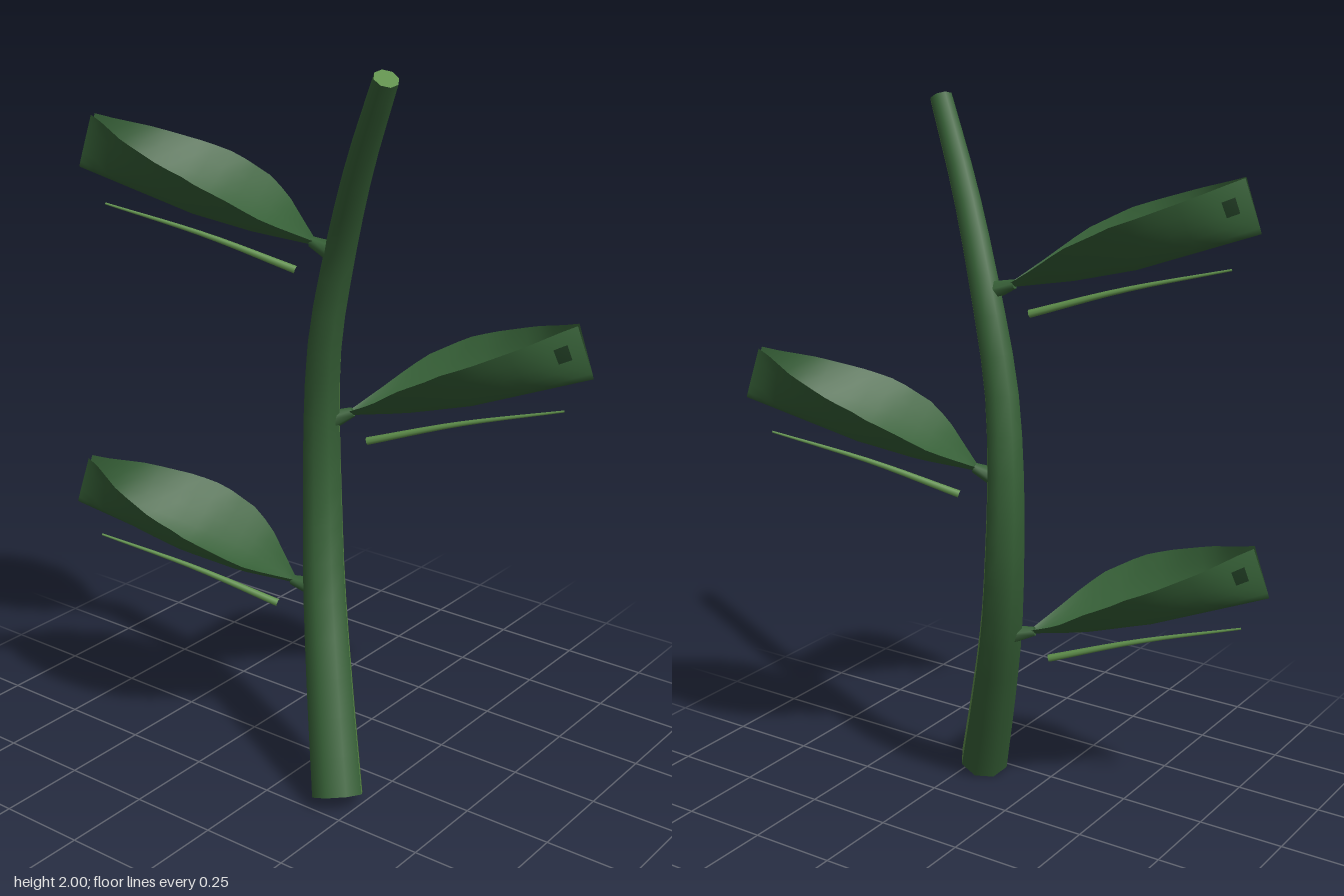
import * as THREE from 'three';

const V = (x, y, z) => new THREE.Vector3(x, y, z);
const mat = (name, color, side = THREE.FrontSide) => {
  const m = new THREE.MeshStandardMaterial({ color, side });
  m.name = name;
  return m;
};

// Piecewise linear lookup in [t, value] pairs
function lerpTable(table, t) {
  for (let i = 1; i < table.length; i++) {
    const [a, va] = table[i - 1], [b, vb] = table[i];
    if (t <= b) return va + (vb - va) * (t - a) / (b - a);
  }
  return table[table.length - 1][1];
}

// Regular grid surface from a point function f(u, v) (and optional normal function)
function gridSurface(f, nu, nv, normalAt) {
  const pos = [], nor = [], idx = [];
  for (let i = 0; i <= nu; i++) for (let j = 0; j <= nv; j++) {
    pos.push(...f(i / nu, j / nv).toArray());
    if (normalAt) nor.push(...normalAt(i / nu, j / nv).toArray());
    if (i < nu && j < nv) {
      const a = i * (nv + 1) + j, b = a + nv + 1;
      idx.push(a, b, a + 1, b, b + 1, a + 1);
    }
  }
  const g = new THREE.BufferGeometry();
  g.setAttribute('position', new THREE.Float32BufferAttribute(pos, 3));
  g.setIndex(idx);
  if (normalAt) g.setAttribute('normal', new THREE.Float32BufferAttribute(nor, 3));
  else g.computeVertexNormals();
  return g;
}

// Tapered eight-sided sweep; a0..a1 is the covered sector in eighths of a turn
function sweep(curve, side, radius, rings, a0 = 0, a1 = 8) {
  const frame = (u) => {
    const t = curve.getTangentAt(u);
    const b = side.clone().cross(t).normalize();
    return { t, b, n: t.clone().cross(b) };
  };
  const radial = (u, v) => {
    const { n, b } = frame(u), a = (a0 + (a1 - a0) * v) * Math.PI / 4;
    return n.multiplyScalar(Math.cos(a)).addScaledVector(b, Math.sin(a));
  };
  const point = (u, v) => curve.getPointAt(u).addScaledVector(radial(u, v), radius(u));
  return { geometry: gridSurface(point, rings, a1 - a0, radial), frame };
}

// Boat-shaped leaf: margins stay high and pinch together at the tip
const WIDTH = [[0, 0.008], [0.12, 0.087], [0.2, 0.137], [0.3, 0.17], [0.45, 0.186], [0.6, 0.17], [0.8, 0.108], [0.94, 0.035], [1, 0.012]];
const MARGIN = [[0, 0.006], [0.12, 0.03], [0.3, 0.07], [0.5, 0.09], [1, 0.098]];
const KEEL = [[0, -0.006], [0.25, -0.035], [0.5, -0.052], [1, -0.05]];
function leafPoint(t, s) {
  const k = lerpTable(KEEL, t), m = lerpTable(MARGIN, t);
  return V(0.668 * t, k + (m - k) * Math.abs(s) ** 1.4, lerpTable(WIDTH, t) * s);
}

export function createModel() {
  const model = new THREE.Group();
  const darkGreen = mat('dark green', 0x376137);
  const leafGreen = mat('leaf green', 0x366037, THREE.DoubleSide);
  const lightGreen = mat('light green', 0x5f8f4b);
  const spotGreen = mat('deep spot green', 0x1c361f, THREE.DoubleSide);
  const add = (parent, name, geometry, material) => {
    const mesh = new THREE.Mesh(geometry, material);
    mesh.name = name;
    parent.add(mesh);
    return mesh;
  };

  // Stem with one pale side and pale cut ends
  const stemPath = new THREE.CatmullRomCurve3([
    V(0.2, 0.035, 0.19), V(0.105, 0.31, 0.1), V(0.025, 0.57, 0.02), V(-0.015, 0.8, -0.025),
    V(-0.02, 1.02, -0.028), V(0.012, 1.25, 0), V(0.085, 1.5, 0.035), V(0.2, 1.75, 0.11), V(0.332, 1.985, 0.188),
  ]);
  const side = V(0.53, 0, -0.85).normalize();
  const stemRadius = (u) => 0.073 - 0.041 * u;
  const bark = sweep(stemPath, side, stemRadius, 20, 1, 8);
  add(model, 'stem', bark.geometry, darkGreen);
  add(model, 'stemPaleSide', sweep(stemPath, side, stemRadius, 20, 0, 1).geometry, lightGreen);
  for (const [u, name] of [[0, 'stemBottomCut'], [1, 'stemTopCut']]) {
    const { t, n, b } = bark.frame(u);
    const cap = new THREE.CircleGeometry(stemRadius(u), 8);
    cap.applyMatrix4(u ? new THREE.Matrix4().makeBasis(n, b.negate(), t)
      : new THREE.Matrix4().makeBasis(n, b, t.negate()));
    add(model, name, cap, lightGreen).position.copy(stemPath.getPointAt(u));
  }

  // Parts shared by every leaf
  const blade = gridSurface((u, v) => leafPoint(u, 2 * v - 1), 16, 10);
  const spot = gridSurface((u, v) => leafPoint(0.895 + 0.05 * u, 0.58 + 0.24 * v).add(V(0.002, -0.001, 0.004)), 2, 2);
  const ribPath = new THREE.CatmullRomCurve3([V(0.05, -0.075, 0), V(0.3, 0, 0), V(0.58, 0.065, 0)]);
  const rib = sweep(ribPath, V(0, 0, 1), (u) => 0.011 - 0.008 * u, 10).geometry;

  const leaves = [
    { name: 'upperLeaf', base: V(0.015, 1.525, 0.05), node: V(0.085, 1.5, 0.035), turn: Math.PI },
    { name: 'middleLeaf', base: V(0.05, 1.04, -0.06), node: V(-0.01, 1.01, -0.028), turn: 0 },
    { name: 'lowerLeaf', base: V(-0.055, 0.555, 0.05), node: V(0.01, 0.54, 0.025), turn: Math.PI },
  ];
  for (const { name, base, node, turn } of leaves) {
    const leaf = new THREE.Group();
    leaf.name = name;
    leaf.position.copy(base);
    leaf.rotation.y = 0.347 + turn;
    const tilted = new THREE.Group();
    tilted.name = name + 'Blade';
    tilted.rotation.z = 0.315;
    add(tilted, 'blade', blade, leafGreen);
    add(tilted, 'spot', spot, spotGreen);
    leaf.add(tilted);
    add(leaf, 'rib', rib, lightGreen);
    model.add(leaf);

    // Short stalk joining leaf and stem
    const dir = base.clone().sub(node), length = dir.length() + 0.01;
    const stalk = add(model, name + 'Stalk', new THREE.CylinderGeometry(0.014, 0.032, length, 6), darkGreen);
    stalk.quaternion.setFromUnitVectors(V(0, 1, 0), dir.normalize());
    stalk.position.copy(node).addScaledVector(dir, length / 2);
  }
  return model;
}
